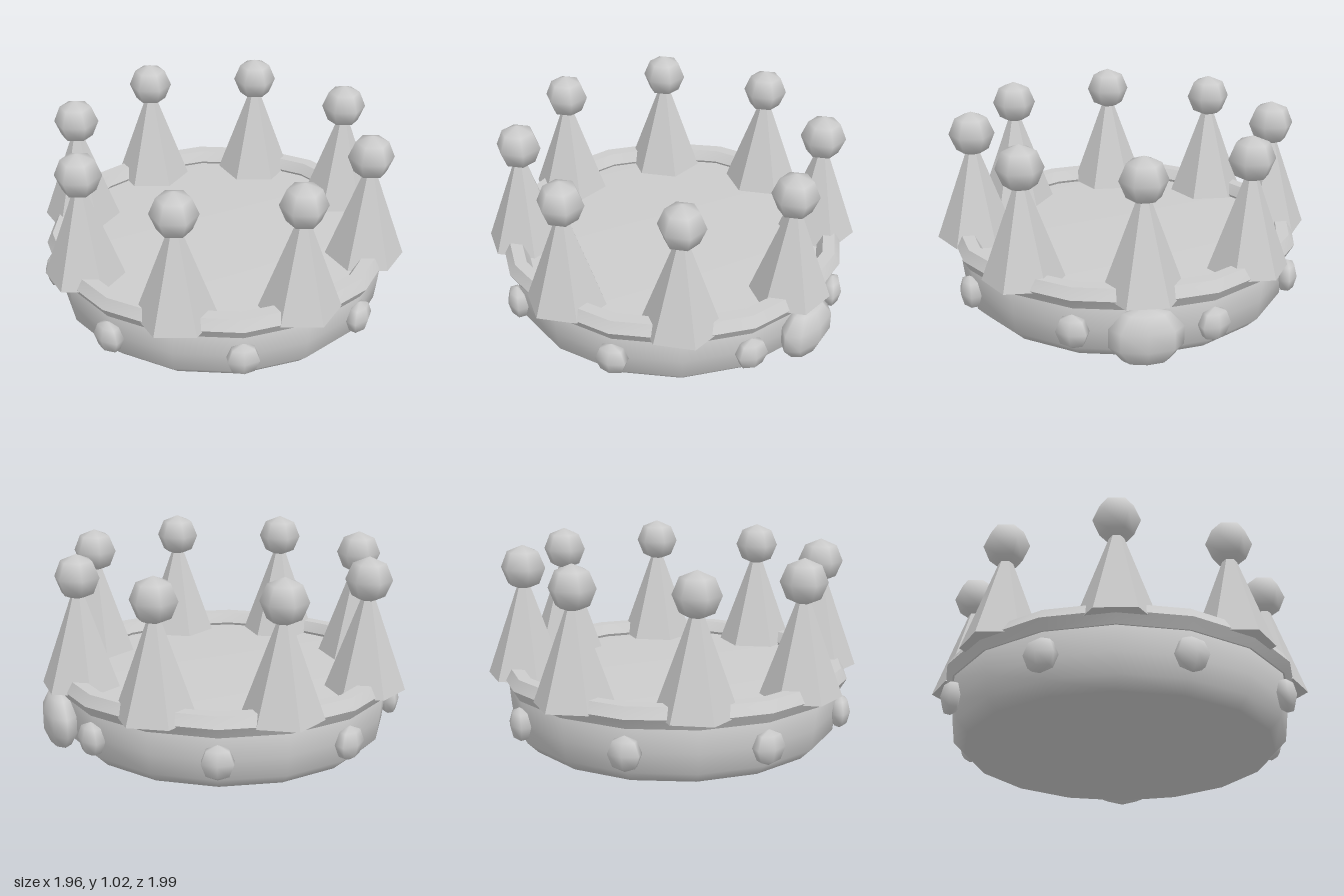
import * as THREE from 'three';
import { toCreasedNormals } from 'three/addons/utils/BufferGeometryUtils.js';

export function createModel() {
  const crown = new THREE.Group();
  crown.name = 'crown';
  const grey = new THREE.MeshStandardMaterial({ color: 0xcccccc });
  grey.name = 'plain grey';

  const add = (geometry, name, x = 0, y = 0, z = 0) => {
    const mesh = new THREE.Mesh(geometry, grey);
    mesh.name = name;
    mesh.position.set(x, y, z);
    crown.add(mesh);
    return mesh;
  };

  // Closed band, softly shaded across its flat top and bottom
  const profile = [[0, 0], [0.8, 0], [0.86, 0.06], [0.873, 0.165], [0.885, 0.29], [0.84, 0.33], [0, 0.33]]
    .map(([r, y]) => new THREE.Vector2(r, y));
  add(new THREE.LatheGeometry(profile, 16), 'band');

  // Six-sided rim
  const rim = new THREE.TorusGeometry(0.862, 0.063, 6, 16).rotateX(-Math.PI / 2);
  add(toCreasedNormals(rim, 0.6), 'rim', 0, 0.345, 0);

  // Spikes with balls, and small gems between them
  const spike = toCreasedNormals(new THREE.ConeGeometry(0.205, 0.57, 6), 0.3);
  const ball = new THREE.SphereGeometry(0.118, 6, 4).rotateY(Math.PI / 2);
  const gem = new THREE.SphereGeometry(0.09, 6, 4).rotateY(Math.PI / 2).scale(1, 1, 0.6);
  for (let i = 0; i < 8; i++) {
    const a = (i * Math.PI) / 4;
    const x = 0.79 * Math.sin(a);
    const z = 0.79 * Math.cos(a);
    add(spike, 'spike', x, 0.335 + 0.285, z);
    add(ball, 'spikeBall', x, 0.905, z);
    const g = a + Math.PI / 8;
    add(gem, 'smallGem', 0.895 * Math.sin(g), 0.168, 0.895 * Math.cos(g)).rotation.y = g;
  }

  // Large gem on the left side
  const bigGem = new THREE.SphereGeometry(1, 8, 5).scale(0.09, 0.155, 0.191);
  add(bigGem, 'largeGem', 0.91, 0.165, 0);

  // The ring sits slightly off centre to balance the large gem
  crown.children.forEach((part) => { part.position.x -= 0.015; });
  return crown;
}
